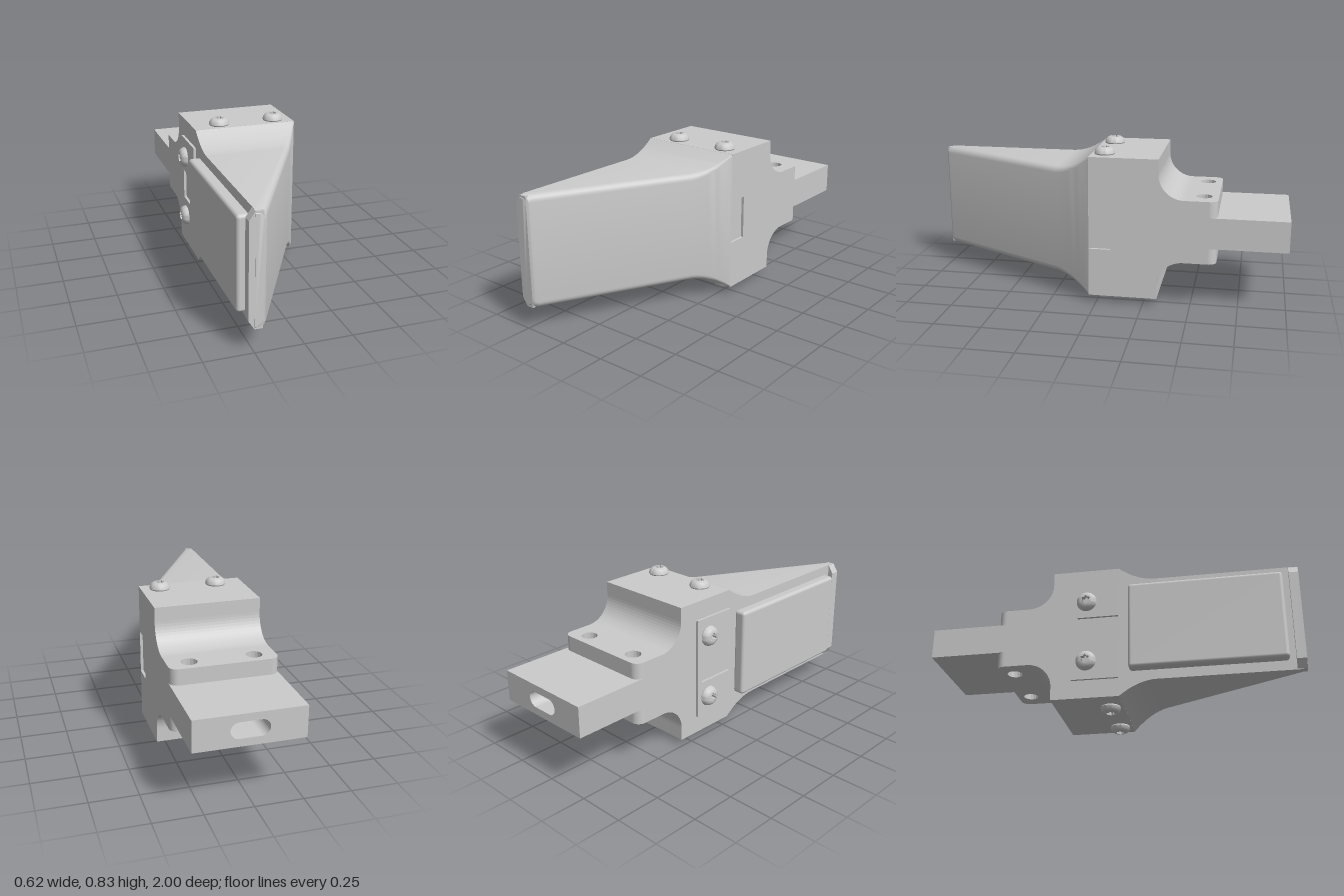
import * as THREE from 'three';
import { toCreasedNormals } from 'three/addons/utils/BufferGeometryUtils.js';
import { RoundedBoxGeometry } from 'three/addons/geometries/RoundedBoxGeometry.js';

const MID = 0.4175, LEFT = 0.31, RIGHT = -0.25;
const mat = new THREE.MeshStandardMaterial({ color: 0xcccccc });

function add(parent, name, geometry, x = 0, y = 0, z = 0) {
  const mesh = new THREE.Mesh(geometry, mat);
  mesh.name = name;
  mesh.position.set(x, y, z);
  parent.add(mesh);
  return mesh;
}

const polygon = (pts) => new THREE.Shape(pts.map(([x, y]) => new THREE.Vector2(x, y)));
const extrude = (shape, depth, curveSegments = 8) =>
  new THREE.ExtrudeGeometry(shape, { depth, curveSegments, bevelEnabled: false });

// Side profile (backward distance, height) extruded along +x
const extrudeAcross = (shape, depth, segs) => extrude(shape, depth, segs).rotateY(Math.PI / 2);

// Block profile with concave fillets to the rear; optionally notched at the front
function blockProfile(notched) {
  const s = new THREE.Shape();
  s.moveTo(-0.04, 0.04);
  s.lineTo(0.325, 0.04);
  s.lineTo(0.325, 0.115);
  s.absarc(0.46, 0.115, 0.135, Math.PI, Math.PI / 2, true);
  s.lineTo(0.46, 0.585);
  s.absarc(0.46, 0.72, 0.135, Math.PI * 1.5, Math.PI, true);
  s.lineTo(0.325, 0.795);
  s.lineTo(-0.04, 0.795);
  if (notched) [[-0.04, 0.535], [0.075, 0.535], [0.075, 0.3], [-0.04, 0.3]].forEach(([x, y]) => s.lineTo(x, y));
  s.closePath();
  return s;
}

// Clamping plate with two bolt holes and rounded rear corners, lying flat
function flangeGeometry() {
  const r = 0.045, u = 0.632;
  const s = new THREE.Shape();
  s.moveTo(RIGHT, 0.46);
  s.lineTo(LEFT, 0.46);
  s.lineTo(LEFT, u - r);
  s.absarc(LEFT - r, u - r, r, 0, Math.PI / 2, false);
  s.lineTo(RIGHT + r, u);
  s.absarc(RIGHT + r, u - r, r, Math.PI / 2, Math.PI, false);
  s.closePath();
  for (const x of [-0.14, 0.195]) {
    s.holes.push(new THREE.Path().absarc(x, 0.555, 0.042, 0, Math.PI * 2, true));
  }
  return extrude(s, 0.085).rotateX(-Math.PI / 2);
}

// Flat bar with a slot in its end
function barGeometry() {
  const s = polygon([[RIGHT, 0.335], [LEFT, 0.335], [LEFT, 0.5], [RIGHT, 0.5]]);
  const slot = new THREE.Path();
  slot.absarc(0.085, MID, 0.042, Math.PI / 2, -Math.PI / 2, true);
  slot.absarc(-0.025, MID, 0.042, -Math.PI / 2, -Math.PI * 1.5, true);
  slot.closePath();
  s.holes.push(slot);
  return extrude(s, 0.54);
}

// Wedge: rounded cross-sections lofted forward, flared where they meet the block
function wedgeGeometry() {
  const sections = [];
  const section = (z, h, inset = 0) => {
    const xm = LEFT - (z - 0.04) * 0.51 / 0.96 - inset;
    const r = Math.min(0.035, 0.01 + (z - 0.04) * 0.12);
    const ring = [[RIGHT, -h]];
    for (const [sign, start] of [[-1, -Math.PI / 2], [1, 0]]) {
      for (let i = 0; i <= 5; i++) {
        const a = start + i / 5 * Math.PI / 2;
        ring.push([xm - r + r * Math.cos(a), sign * (h - r) + r * Math.sin(a)]);
      }
    }
    ring.push([RIGHT, h]);
    sections.push(ring.map(([x, y]) => [x, MID + y, z]));
  };
  for (let i = 0; i <= 8; i++) section(0.04 + 0.2 * i / 8, 0.296 + 0.081 * (1 - i / 8) ** 2);
  section(0.975, 0.296);
  section(0.992, 0.29);
  section(1, 0.28, 0.008);

  const n = sections[0].length, last = (sections.length - 1) * n, index = [];
  for (let k = 0; k < sections.length - 1; k++) {
    for (let i = 0; i < n; i++) {
      const a = k * n + i, b = k * n + (i + 1) % n;
      index.push(a, b, b + n, a, b + n, a + n);
    }
  }
  for (let i = 1; i < n - 1; i++) {
    index.push(0, i + 1, i, last, last + i, last + i + 1);
  }
  const g = new THREE.BufferGeometry();
  g.setAttribute('position', new THREE.Float32BufferAttribute(sections.flat(2), 3));
  g.setIndex(index);
  return toCreasedNormals(g, 0.5);
}

// Domed screw head along +y with a lobed drive recess
function screwGeometry() {
  const profile = [[0, 0.012], [0.021, 0.012], [0.0215, 0.038], [0.032, 0.037], [0.044, 0.03],
    [0.052, 0.018], [0.055, 0.006], [0.052, 0]].map(([x, y]) => new THREE.Vector2(x, y)).reverse();
  const g = new THREE.LatheGeometry(profile, 36);
  const p = g.attributes.position;
  for (let i = 0; i < p.count; i++) {
    const x = p.getX(i), z = p.getZ(i);
    if (Math.hypot(x, z) < 0.025) {
      const k = 1 + 0.18 * Math.cos(6 * Math.atan2(z, x));
      p.setX(i, x * k);
      p.setZ(i, z * k);
    }
  }
  return toCreasedNormals(g, 0.6);
}

export function createModel() {
  const model = new THREE.Group();
  model.name = 'wedgeFinger';

  // Mounting block, with a shallow notch on its left face
  const block = new THREE.Group();
  block.name = 'mountingBlock';
  model.add(block);
  add(block, 'blockCore', extrudeAcross(blockProfile(false), 0.545, 7), RIGHT);
  add(block, 'notchedSideSkin', extrudeAcross(blockProfile(true), 0.015, 7), LEFT - 0.015);

  // Clamp plates above and below the bar
  const flange = flangeGeometry();
  add(block, 'upperFlange', flange, 0, 0.5, 0);
  add(block, 'lowerFlange', flange, 0, 0.25, 0);
  add(model, 'mountingBar', barGeometry(), 0, 0, -1);

  // Wedge and the raised lip at its tip
  add(model, 'wedge', wedgeGeometry());
  const lip = polygon([[-0.28, 0.17], [-0.25, 0.125], [-0.21, 0.125], [-0.21, 0.71], [-0.25, 0.71], [-0.28, 0.665]]);
  add(model, 'tipLip', extrude(lip, 0.05), 0, 0, 0.948);

  // Contact pad on the right face
  add(model, 'contactPad', new RoundedBoxGeometry(0.07, 0.49, 0.82, 3, 0.018), -0.275, MID, 0.505);

  // C-shaped retaining bracket
  const bracket = polygon([[-0.035, 0.14], [0.215, 0.14], [0.215, 0.695], [-0.035, 0.695],
    [-0.035, 0.5], [0.185, 0.5], [0.185, 0.335], [-0.035, 0.335]]);
  add(model, 'retainingBracket', extrudeAcross(bracket, 0.016), RIGHT - 0.014);

  // Screws: two on top, two below, two through the bracket
  const screw = screwGeometry();
  for (const x of [-0.1, 0.21]) {
    add(model, 'topScrew', screw, x, 0.795, -0.03);
    add(model, 'bottomScrew', screw, x, 0.04, -0.03).rotation.x = Math.PI;
  }
  for (const side of [-1, 1]) {
    add(model, 'bracketScrew', screw, RIGHT - 0.012, MID + side * 0.175, -0.135).rotation.z = Math.PI / 2;
  }
  return model;
}
